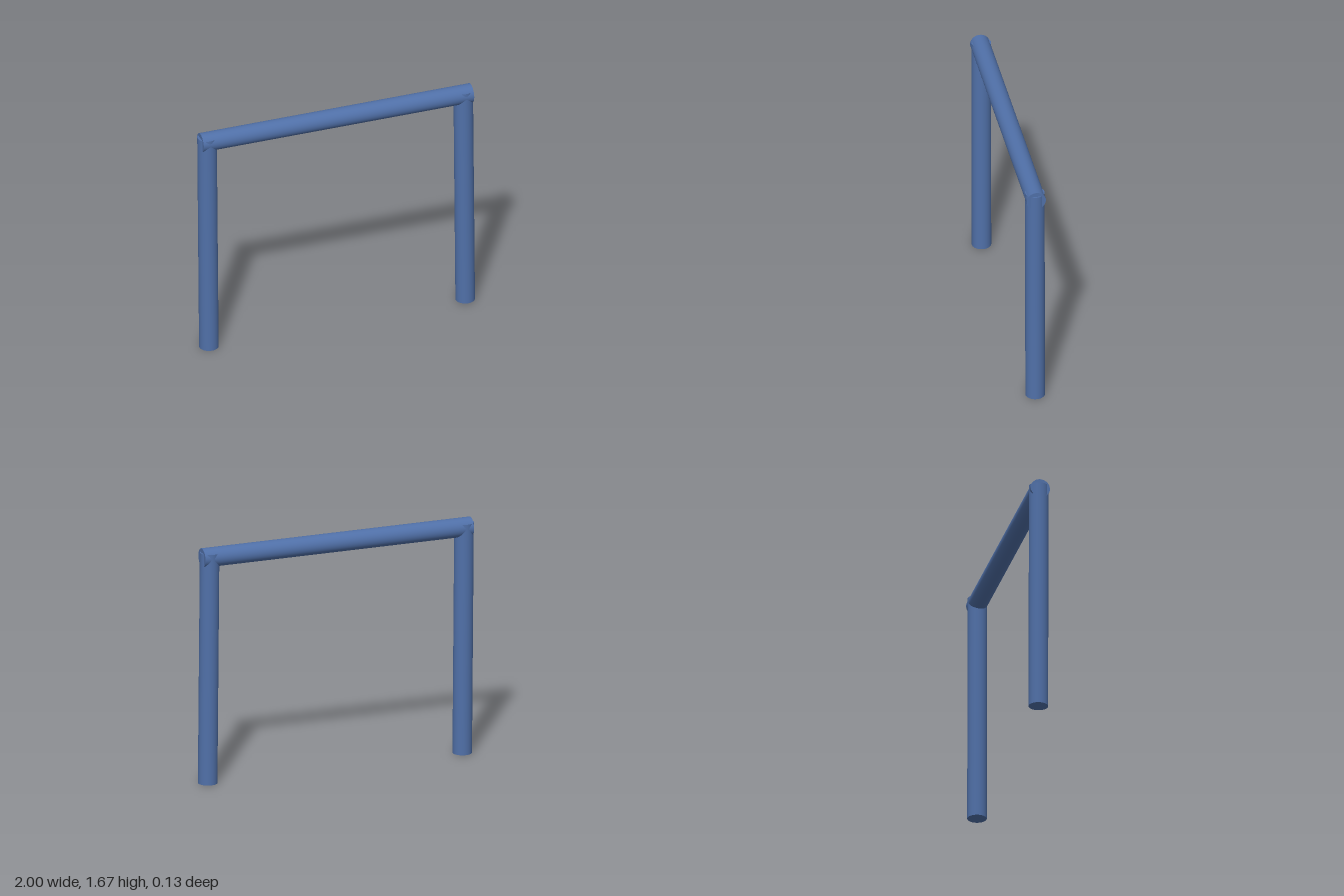
import * as THREE from 'three';

const RADIUS = 0.0665;

// Round capped pole running between two points
function pole(name, from, to, material) {
  const a = new THREE.Vector3(...from);
  const b = new THREE.Vector3(...to);
  const axis = b.clone().sub(a);
  const mesh = new THREE.Mesh(new THREE.CylinderGeometry(RADIUS, RADIUS, axis.length(), 40), material);
  mesh.position.copy(a).add(b).multiplyScalar(0.5);
  mesh.quaternion.setFromUnitVectors(new THREE.Vector3(0, 1, 0), axis.normalize());
  mesh.name = name;
  return mesh;
}

export function createModel() {
  const group = new THREE.Group();
  group.name = 'poleFrame';
  const blue = new THREE.MeshStandardMaterial({ color: 0x5070a8 });
  blue.name = 'blue paint';

  // Two posts, both leaning slightly to the same side
  group.add(pole('rightPost', [-0.921, 0, 0], [-0.934, 1.637, -0.001], blue));
  group.add(pole('leftPost', [0.931, 0, 0], [0.917, 1.637, -0.001], blue));

  // Crossbar resting over the post tops
  group.add(pole('crossbar', [-0.982, 1.602, 0], [0.972, 1.602, 0], blue));
  return group;
}
